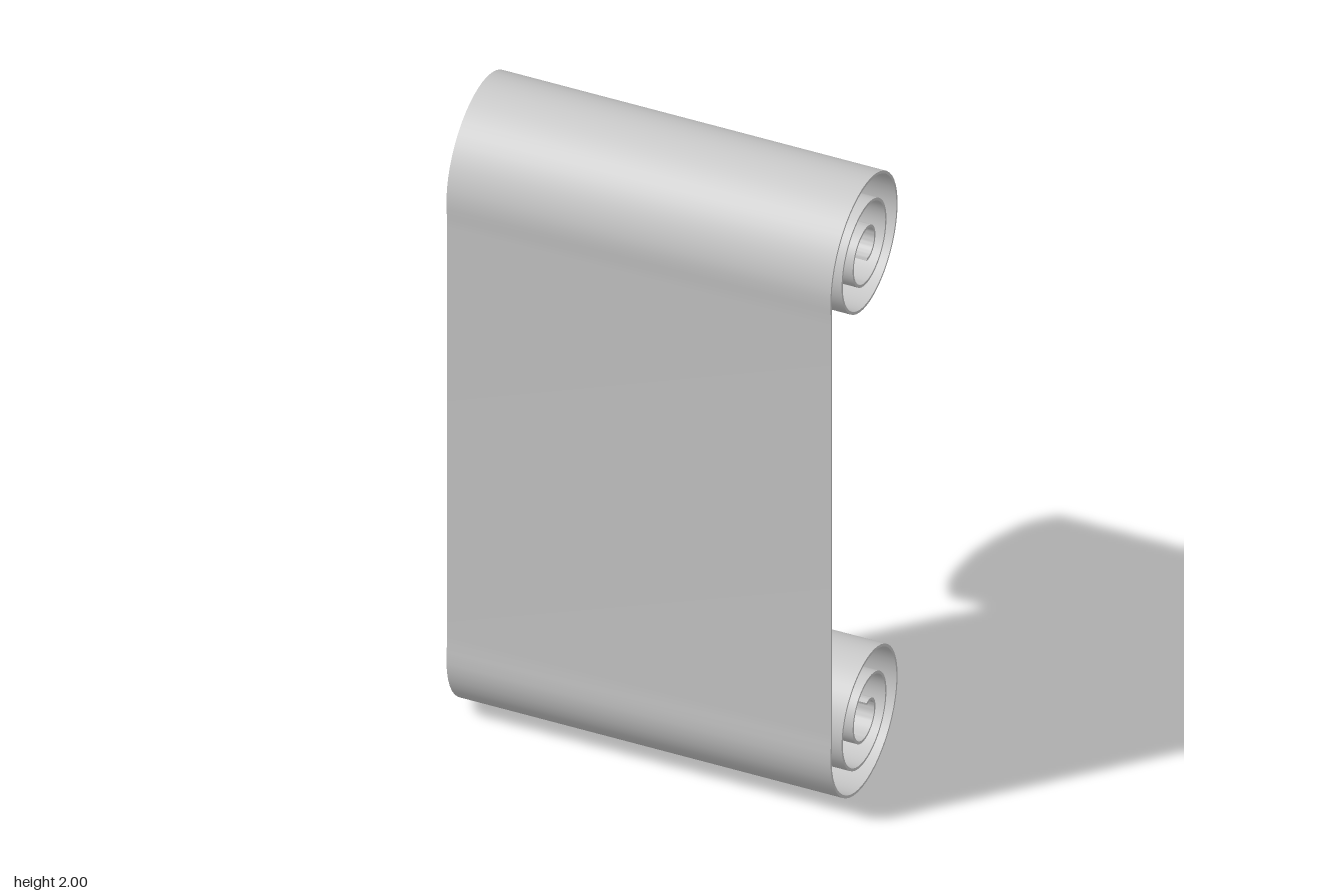
import * as THREE from 'three';
import { toCreasedNormals } from 'three/addons/utils/BufferGeometryUtils.js';

const WIDTH = 1.115, THICKNESS = 0.008;
const TURNS = 2.75, PITCH = 0.0745, OUTER_RADIUS = 0.2385;
const CENTRE_Z = -0.0205, CENTRE_Y = 1.776;

// Centre line of the upper half, in (z, y): spiral from the inner end outwards, then the flat sheet
function upperHalf() {
  const points = [];
  const steps = TURNS * 48;
  for (let i = 0; i <= steps; i++) {
    const turn = TURNS * (1 - i / steps);
    const r = OUTER_RADIUS - PITCH * turn;
    const a = turn * Math.PI * 2;
    points.push(new THREE.Vector2(CENTRE_Z + r * Math.cos(a), CENTRE_Y + r * Math.sin(a)));
  }
  points.push(new THREE.Vector2(0.217, 1.74), new THREE.Vector2(0.2148, 1.71), new THREE.Vector2(0.214, 1.68));
  return points;
}

// Closed outline of a band of even thickness around a centre line
function bandShape(line, thickness) {
  const side = (sign) => line.map((p, i) => {
    const before = line[Math.max(i - 1, 0)];
    const after = line[Math.min(i + 1, line.length - 1)];
    const t = after.clone().sub(before).normalize();
    return new THREE.Vector2(p.x - t.y * sign * thickness / 2, p.y + t.x * sign * thickness / 2);
  });
  return new THREE.Shape([...side(1), ...side(-1).reverse()]);
}

export function createModel() {
  const group = new THREE.Group();
  group.name = 'scroll';

  // The lower roll mirrors the upper one
  const top = upperHalf();
  const bottom = top.map((p) => new THREE.Vector2(p.x, 2 - p.y)).reverse();

  const geometry = new THREE.ExtrudeGeometry(bandShape([...top, ...bottom], THICKNESS), {
    depth: WIDTH, bevelEnabled: false,
  });
  geometry.translate(0, 0, -WIDTH / 2);
  geometry.rotateY(-Math.PI / 2);

  const sheet = new THREE.Mesh(
    toCreasedNormals(geometry, 0.6),
    new THREE.MeshStandardMaterial({ color: 0xcccccc, side: THREE.DoubleSide }),
  );
  sheet.name = 'rolledSheet';
  group.add(sheet);
  return group;
}
